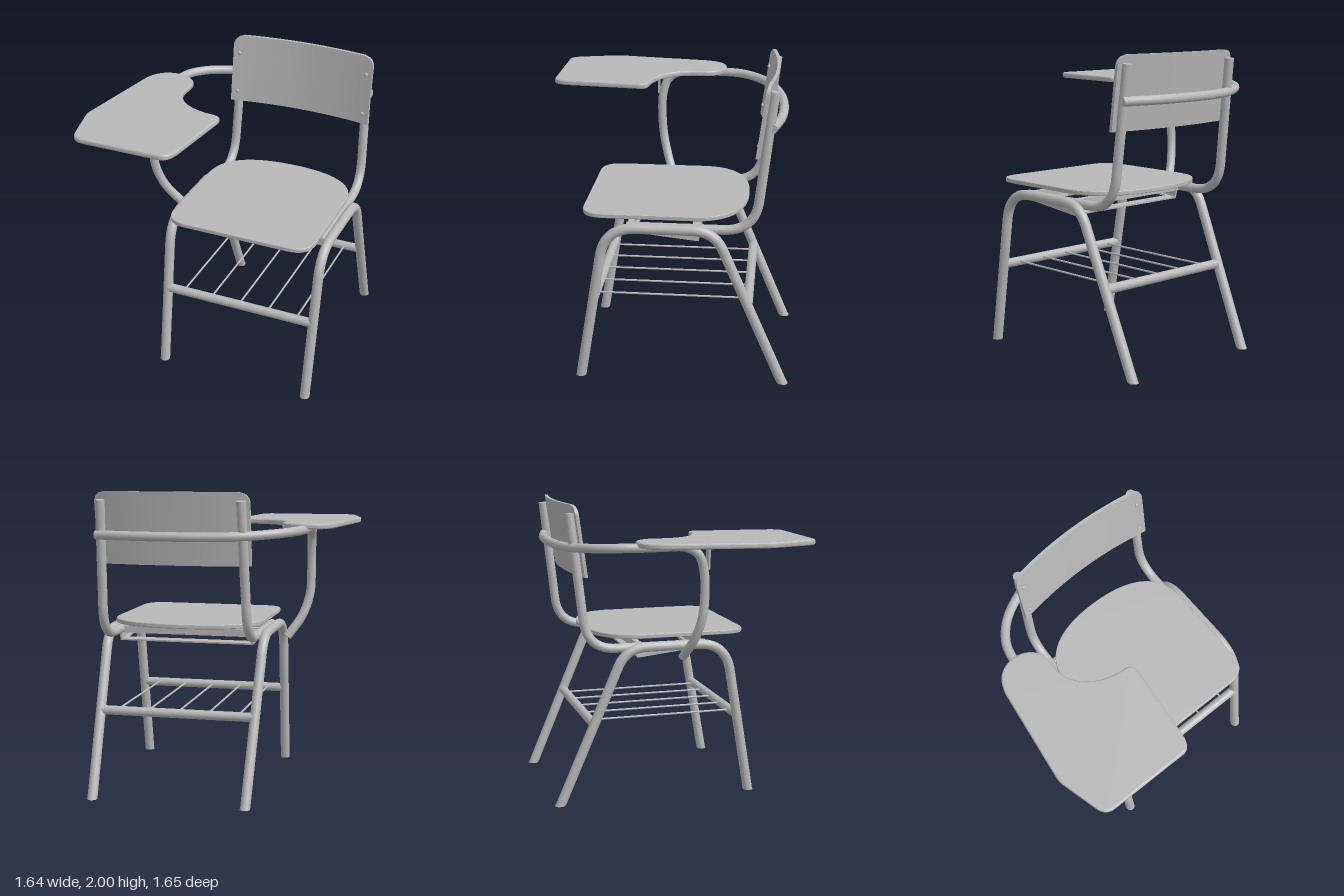
import * as THREE from 'three';
import { mergeGeometries } from 'three/addons/utils/BufferGeometryUtils.js';

const CX = 0.245; // middle of the chair frame, the desk hangs out to one side
const V = (x, y, z) => new THREE.Vector3(x, y, z);

export function createModel() {
  const model = new THREE.Group();
  model.name = 'tabletArmChair';
  const grey = new THREE.MeshStandardMaterial({ color: 0xb8b8b8 });
  grey.name = 'plain grey';

  const add = (name, geometry, x = 0, y = 0, z = 0) => {
    const mesh = new THREE.Mesh(geometry, grey);
    mesh.name = name;
    mesh.position.set(x, y, z);
    model.add(mesh);
    return mesh;
  };

  // Straight runs joined by smooth bends; cuts[i] is the bend length at point i + 1
  const bentPath = (points, cuts) => {
    const path = new THREE.CurvePath();
    let from = points[0];
    for (let i = 1; i < points.length - 1; i++) {
      const p = points[i], cut = cuts[i - 1];
      const a = p.clone().add(points[i - 1].clone().sub(p).setLength(cut));
      const b = p.clone().add(points[i + 1].clone().sub(p).setLength(cut));
      path.add(new THREE.LineCurve3(from, a));
      path.add(new THREE.QuadraticBezierCurve3(a, p, b));
      from = b;
    }
    path.add(new THREE.LineCurve3(from, points[points.length - 1]));
    return path;
  };

  // Round tube with closed ends
  const tube = (path, radius, segments = 80, sides = 16) => {
    const parts = [new THREE.TubeGeometry(path, segments, radius, sides)];
    for (const [t, sign] of [[0, -1], [1, 1]]) {
      const cap = new THREE.CircleGeometry(radius, sides);
      const dir = path.getTangentAt(t).multiplyScalar(sign);
      cap.applyQuaternion(new THREE.Quaternion().setFromUnitVectors(V(0, 0, 1), dir));
      const p = path.getPointAt(t);
      parts.push(cap.translate(p.x, p.y, p.z));
    }
    return mergeGeometries(parts);
  };
  const rod = (a, b, radius, sides = 16) => tube(new THREE.LineCurve3(a, b), radius, 1, sides);

  // Flat board from a plan shape drawn with y = -z, underside at y = 0
  const board = (shape, thickness, bevel) => {
    const g = new THREE.ExtrudeGeometry(shape, {
      depth: thickness - 2 * bevel, bevelThickness: bevel, bevelSize: bevel,
      bevelOffset: -bevel, bevelSegments: 3, curveSegments: 16,
    });
    return g.rotateX(-Math.PI / 2).translate(0, bevel, 0);
  };

  for (const s of [-1, 1]) {
    const side = s > 0 ? 'left' : 'right';

    // Leg loop: front foot, seat rail, back foot, with feet cut level
    const legs = tube(bentPath([
      V(CX + s * 0.525, -0.02, 0.533), V(CX + s * 0.537, 1.055, 0.354),
      V(CX + s * 0.537, 1.055, -0.342), V(CX + s * 0.512, -0.02, -0.803),
    ], [0.2, 0.14]), 0.033, 120);
    const pos = legs.attributes.position;
    for (let i = 0; i < pos.count; i++) pos.setY(i, Math.max(0, pos.getY(i)));
    add(side + 'LegLoop', legs);

    // Back upright, bent forward beneath the seat
    add(side + 'BackUpright', tube(bentPath([
      V(CX + s * 0.482, 1.047, 0.22), V(CX + s * 0.484, 1.047, -0.593),
      V(CX + s * 0.461, 1.945, -0.695),
    ], [0.2]), 0.031));

    // Backrest bolts
    for (const [y, z] of [[1.875, -0.637], [1.6, -0.601]]) {
      const bolt = add(side + 'BackrestBolt', new THREE.SphereGeometry(0.014, 12, 8), CX + s * 0.465, y, z);
      bolt.scale.z = 0.7;
    }
  }

  // Seat board
  const seat = new THREE.Shape();
  seat.moveTo(CX, 0.54);
  seat.bezierCurveTo(CX + 0.3, 0.54, CX + 0.508, 0.44, CX + 0.508, 0.2);
  seat.lineTo(CX + 0.508, -0.36);
  seat.quadraticCurveTo(CX + 0.508, -0.515, CX + 0.36, -0.515);
  seat.lineTo(CX - 0.36, -0.515);
  seat.quadraticCurveTo(CX - 0.508, -0.515, CX - 0.508, -0.36);
  seat.lineTo(CX - 0.508, 0.2);
  seat.bezierCurveTo(CX - 0.508, 0.44, CX - 0.3, 0.54, CX, 0.54);
  add('seat', board(seat, 0.03, 0.006), 0, 1.105, 0);

  // Backrest: rounded top corners, leaning and bowed backwards
  const W = 0.51, H = 0.47, R = 0.07;
  const back = new THREE.BoxGeometry(2 * W, H, 0.022, 28, 40, 1);
  const bp = back.attributes.position;
  for (let i = 0; i < bp.count; i++) {
    const d = Math.min(R, H / 2 - bp.getY(i)), t = bp.getY(i) / H + 0.5;
    const half = W - R + Math.sqrt(Math.max(0, R * R - (R - d) ** 2));
    const x = bp.getX(i) * half / W;
    bp.setX(i, x);
    bp.setZ(i, bp.getZ(i) - 0.597 - 0.063 * t - 0.05 * (1 - (x / W) ** 2));
  }
  back.computeVertexNormals();
  add('backrest', back, CX, 1.53 + H / 2, 0);

  // Book rack: two crossbars and thin wires
  add('frontCrossbar', rod(V(CX - 0.53, 0.545, 0.44), V(CX + 0.53, 0.545, 0.44), 0.031));
  add('backCrossbar', rod(V(CX - 0.52, 0.545, -0.56), V(CX + 0.52, 0.545, -0.56), 0.031));
  for (let i = -2; i <= 2; i++) {
    const x = CX + i * 0.205;
    add('rackWire', rod(V(x, 0.55, 0.44), V(x, 0.55, -0.56), 0.007, 8));
  }

  // Bars beneath the seat
  for (const z of [0.195, -0.23]) {
    add('seatBar', new THREE.BoxGeometry(0.94, 0.05, 0.04), CX + 0.01, 1.045, z);
  }

  // Sloping tray frame beneath the seat: wedge sides and an open bottom
  const wedge = new THREE.Shape([[-0.22, 1.03], [-0.22, 1.015], [0.24, 0.965], [0.255, 1.03]]
    .map(([z, y]) => new THREE.Vector2(z, y)));
  for (const x of [-0.2, 0.72]) {
    const g = new THREE.ExtrudeGeometry(wedge, { depth: 0.014, bevelEnabled: false });
    add('traySide', g.rotateY(Math.PI / 2), x, 0, 0);
  }
  const rect = (C, w, h) => new C([[-w, -h], [w, -h], [w, h], [-w, h]]
    .map(([x, y]) => new THREE.Vector2(x, y)));
  const ring = rect(THREE.Shape, 0.467, 0.231);
  ring.holes.push(rect(THREE.Path, 0.43, 0.17));
  const tray = add('trayBottom', board(ring, 0.012, 0.001), CX + 0.022, 0.99, -0.01);
  tray.rotation.x = -Math.atan2(0.05, 0.46);

  // Desk arm: sweeps behind the backrest, runs forward, then curls down
  const arm = new THREE.CatmullRomCurve3([
    V(0.74, 1.72, -0.685), V(0.5, 1.72, -0.735), V(0.24, 1.72, -0.75),
    V(-0.02, 1.72, -0.732), V(-0.22, 1.725, -0.685), V(-0.41, 1.737, -0.58),
    V(-0.515, 1.745, -0.45), V(-0.548, 1.747, -0.31), V(-0.548, 1.747, -0.16),
    V(-0.545, 1.742, -0.01), V(-0.537, 1.69, 0.08), V(-0.53, 1.58, 0.118),
    V(-0.529, 1.42, 0.124), V(-0.522, 1.28, 0.112), V(-0.475, 1.13, 0.075),
    V(-0.382, 0.99, 0.02),
  ]);
  add('deskArm', tube(arm, 0.03, 140));

  // Tapered bracket between the arm and the desk
  const bracket = new THREE.Shape([[-0.563, 1.755], [-0.545, 1.59], [-0.507, 1.59], [-0.49, 1.755]]
    .map(([x, y]) => new THREE.Vector2(x, y)));
  const bracketMesh = add('deskBracket',
    new THREE.ExtrudeGeometry(bracket, { depth: 0.014, bevelEnabled: false }), 0, 0, 0.14);
  bracketMesh.name = 'deskBracket';

  // Writing desk: narrow elbow rest opening into a wide board
  const desk = new THREE.Shape();
  desk.moveTo(-0.545, 0.335);
  desk.bezierCurveTo(-0.46, 0.335, -0.385, 0.27, -0.385, 0.2);
  desk.lineTo(-0.385, 0.09);
  desk.bezierCurveTo(-0.375, -0.03, -0.26, -0.15, -0.06, -0.163);
  desk.quadraticCurveTo(0.005, -0.165, 0.002, -0.225);
  desk.lineTo(-0.048, -0.7);
  desk.quadraticCurveTo(-0.06, -0.82, -0.13, -0.82);
  desk.lineTo(-0.67, -0.818);
  desk.quadraticCurveTo(-0.735, -0.815, -0.755, -0.745);
  desk.lineTo(-0.815, -0.51);
  desk.quadraticCurveTo(-0.825, -0.47, -0.818, -0.43);
  desk.lineTo(-0.737, 0.13);
  desk.bezierCurveTo(-0.725, 0.25, -0.67, 0.335, -0.545, 0.335);
  add('writingDesk', board(desk, 0.037, 0.012), 0, 1.75, 0);

  return model;
}
